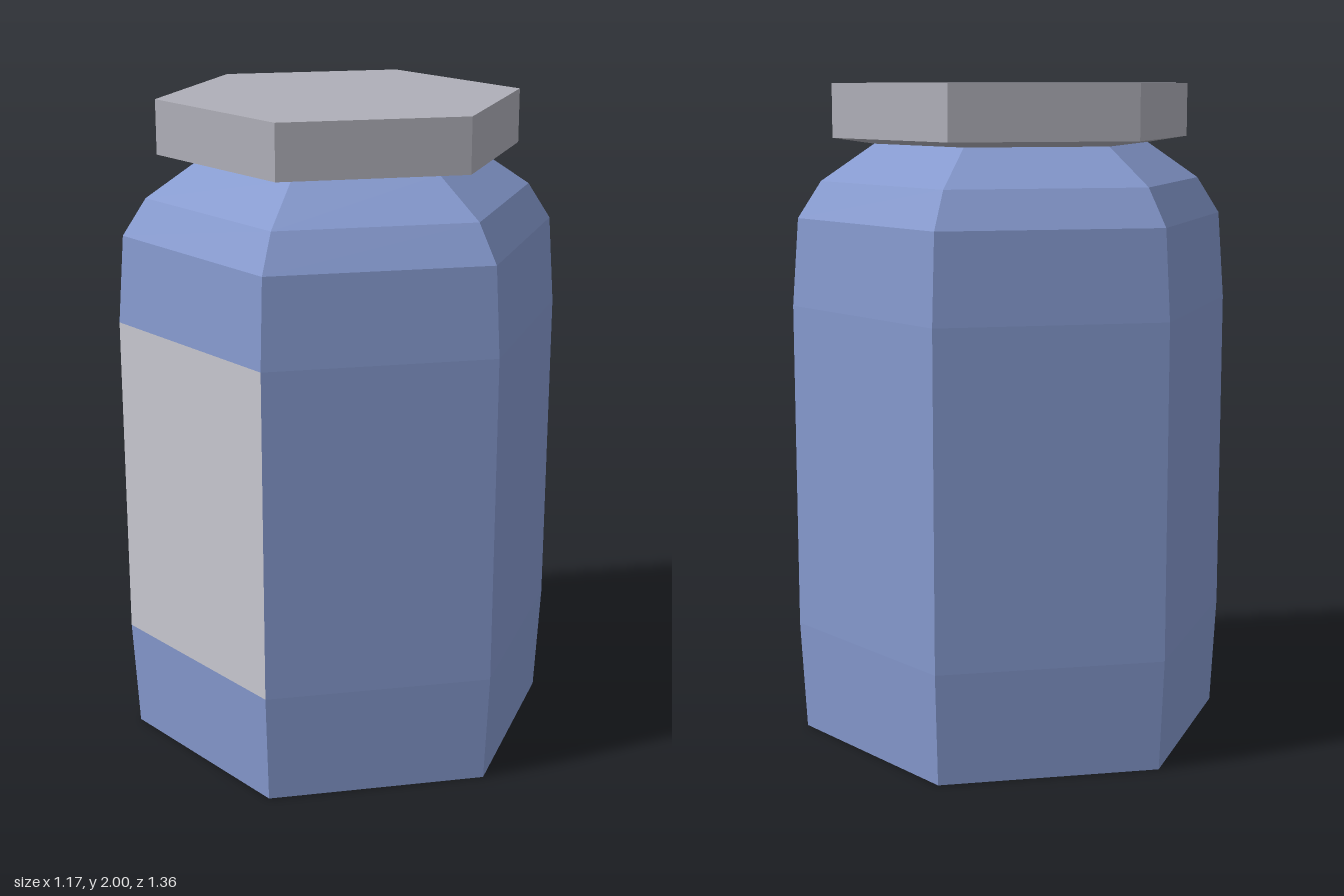
import * as THREE from 'three';

const mat = (name, color) => new THREE.MeshStandardMaterial({ name, color, flatShading: true, side: THREE.DoubleSide });

// Open six-sided band, corners on +z and -z, covering a number of faces from a start face
function hexBand(name, material, [r0, y0], [r1, y1], start = 0, faces = 6) {
  const step = Math.PI / 3;
  const geo = new THREE.CylinderGeometry(r1, r0, y1 - y0, faces, 1, true, start * step, faces * step);
  const mesh = new THREE.Mesh(geo, material);
  mesh.name = name;
  mesh.position.y = (y0 + y1) / 2;
  return mesh;
}

export function createModel() {
  const glass = mat('blue glass', 0x8599ce);
  const paper = mat('pale label', 0xc8c8d0);
  const metal = mat('grey lid', 0xafafb8);

  const jar = new THREE.Group();
  jar.name = 'jar';

  // Body: open at the bottom, bulging slightly, then a sloping shoulder (radius, height)
  const body = new THREE.Group();
  body.name = 'body';
  const profile = [[0.66, 0], [0.678, 0.337], [0.678, 1.335], [0.658, 1.6], [0.587, 1.71], [0.425, 1.82]];
  const names = ['base', 'wall', 'upperWall', 'lowerShoulder', 'upperShoulder'];
  names.forEach((name, i) => {
    // The straight wall leaves one face free for the label
    body.add(hexBand(name, glass, profile[i], profile[i + 1], 0, name === 'wall' ? 5 : 6));
  });
  body.add(hexBand('label', paper, profile[1], profile[2], 5, 1));
  jar.add(body);

  // Lid: hexagonal cap with a shallow sloping underside
  const lid = new THREE.Group();
  lid.name = 'lid';
  lid.add(hexBand('lidUnderside', metal, [0.425, 1.82], [0.55, 1.838]));
  lid.add(hexBand('lidRim', metal, [0.55, 1.838], [0.55, 2]));
  const top = new THREE.Mesh(new THREE.CircleGeometry(0.55, 6, Math.PI / 2), metal);
  top.name = 'lidTop';
  top.rotation.x = -Math.PI / 2;
  top.position.y = 2;
  lid.add(top);
  jar.add(lid);

  return jar;
}
